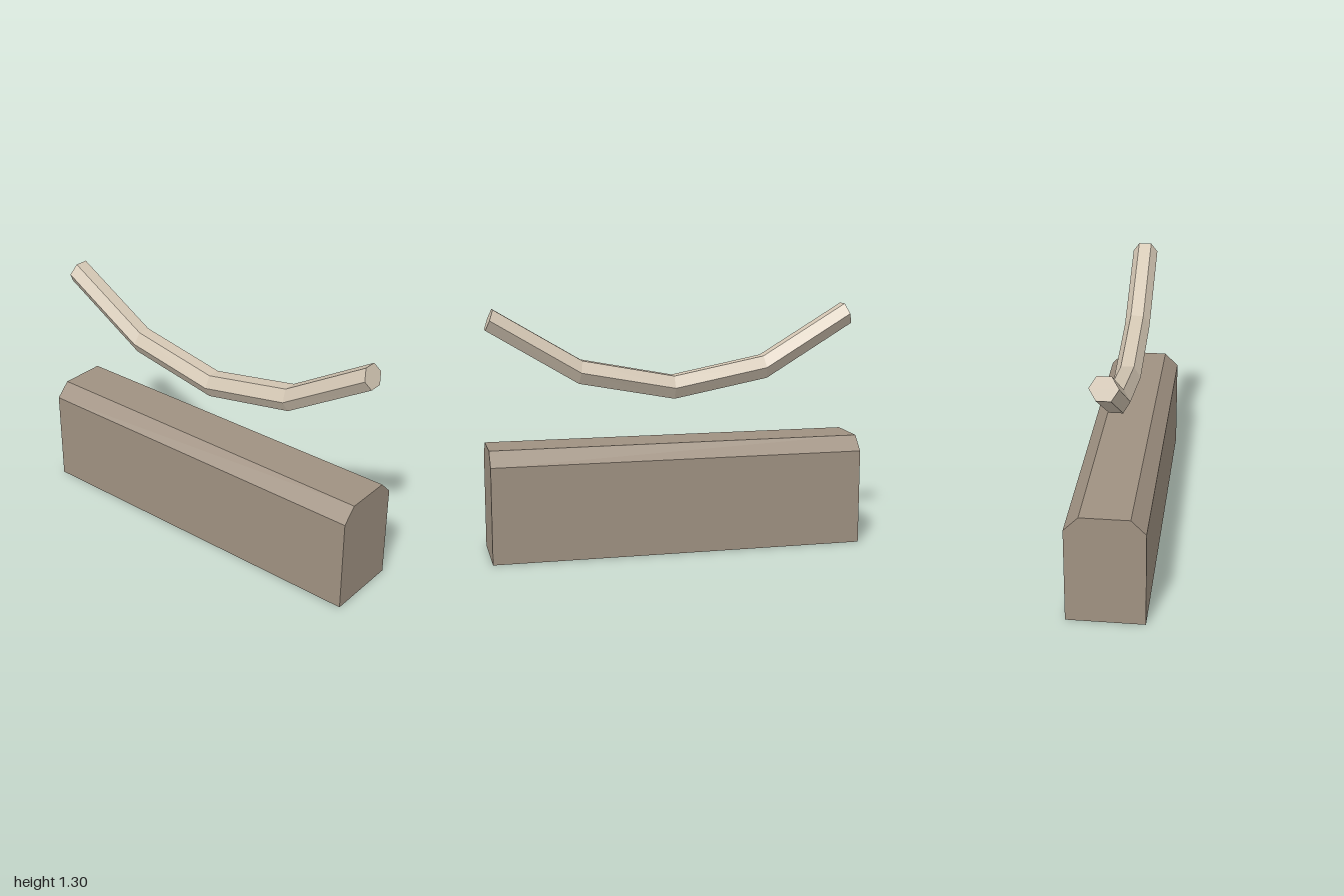
import * as THREE from 'three';

const stone = new THREE.MeshStandardMaterial({ color: 0xa09282 });
stone.name = 'brownStone';
const pale = new THREE.MeshStandardMaterial({ color: 0xd4c7b4 });
pale.name = 'paleBone';

// Block with two chamfered long edges on top, running along x
function blockGeometry() {
  const profile = new THREE.Shape([
    [-0.2, 0], [0.2, 0], [0.2, 0.51], [0.125, 0.585], [-0.125, 0.585], [-0.2, 0.51],
  ].map(([z, y]) => new THREE.Vector2(z, y)));
  const geometry = new THREE.ExtrudeGeometry(profile, { depth: 2, bevelEnabled: false });
  return geometry.translate(0, 0, -1).rotateY(Math.PI / 2);
}

// Bent bar: hexagonal cross-sections, each tilted by its own lean
function barGeometry() {
  const half = [
    { x: 0.975, y: 1.247, dx: -0.02, dy: 0.053 },
    { x: 0.505, y: 0.965, dx: -0.01, dy: 0.06 },
  ];
  const sections = [
    ...half.map((s) => ({ ...s, x: -s.x, dx: -s.dx })),
    { x: 0, y: 0.869, dx: 0, dy: 0.061 },
    ...half.slice().reverse(),
  ];
  const hexagon = [[0.07, 0], [0.035, 1], [-0.035, 1], [-0.07, 0], [-0.035, -1], [0.035, -1]];
  const positions = [];
  const index = [];
  for (const s of sections) {
    for (const [z, t] of hexagon) positions.push(s.x + s.dx * t, s.y + s.dy * t, z);
  }
  const last = (sections.length - 1) * 6;
  for (let i = 0; i < last; i += 6) {
    for (let j = 0; j < 6; j++) {
      const a = i + j, b = i + (j + 1) % 6;
      index.push(a, a + 6, b, b, a + 6, b + 6);
    }
  }
  // End caps
  for (let k = 1; k < 5; k++) {
    index.push(0, k, k + 1, last, last + k + 1, last + k);
  }
  const geometry = new THREE.BufferGeometry();
  geometry.setAttribute('position', new THREE.Float32BufferAttribute(positions, 3));
  geometry.setIndex(index);
  const flat = geometry.toNonIndexed();
  flat.computeVertexNormals();
  return flat;
}

export function createModel() {
  const group = new THREE.Group();
  const add = (name, geometry, material) => {
    const mesh = new THREE.Mesh(geometry, material);
    mesh.name = name;
    group.add(mesh);
  };
  add('block', blockGeometry(), stone);
  add('curvedBar', barGeometry(), pale);
  return group;
}
